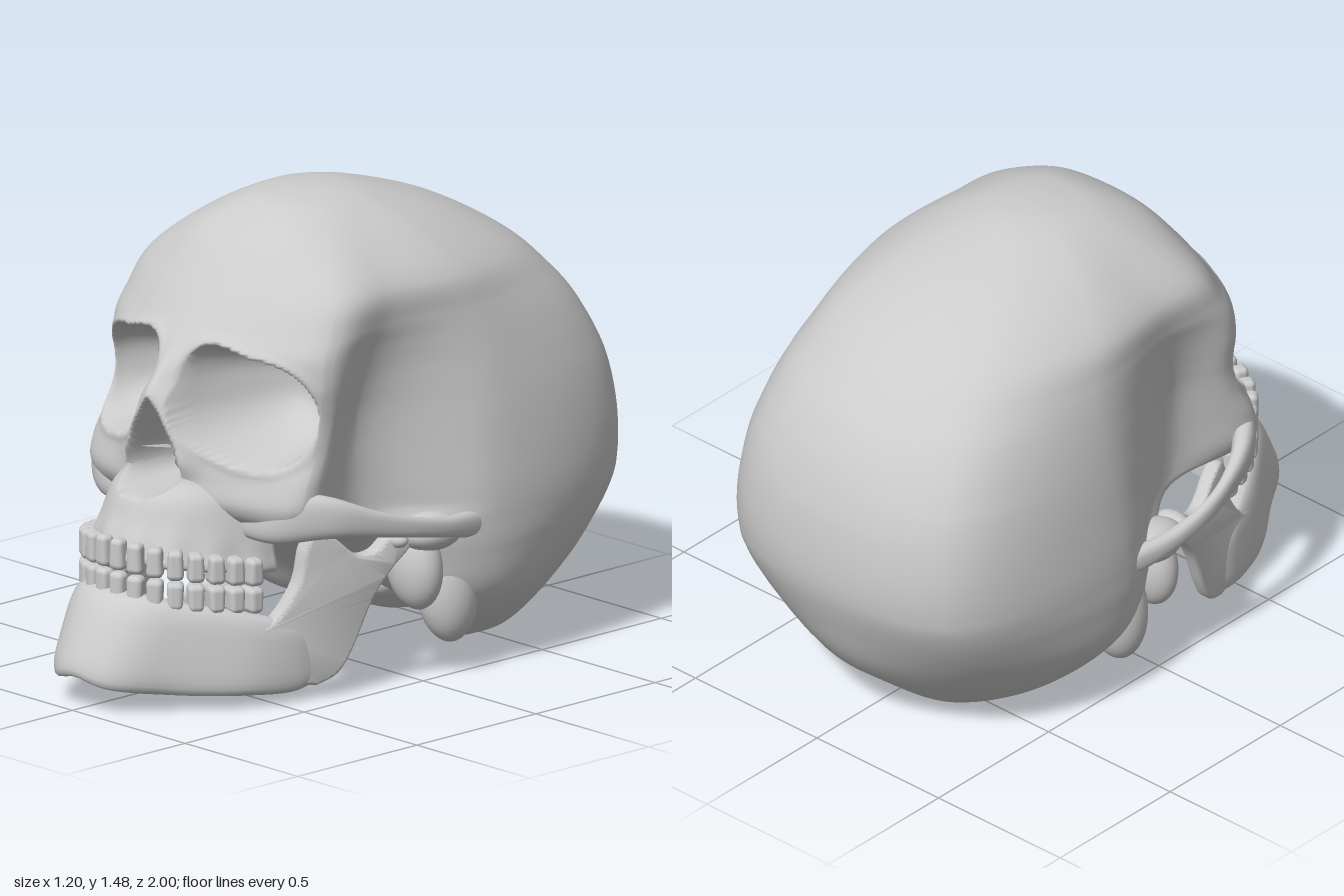
import * as THREE from 'three';
import { mergeGeometries, mergeVertices, toCreasedNormals } from 'three/addons/utils/BufferGeometryUtils.js';
import { RoundedBoxGeometry } from 'three/addons/geometries/RoundedBoxGeometry.js';

const bone = new THREE.MeshStandardMaterial({ color: 0xcccccc });
const V = (x, y, z) => new THREE.Vector3(x, y, z);
const smooth = THREE.MathUtils.smoothstep;
const lerp = THREE.MathUtils.lerp;
const spline = (pts, closed = false) => new THREE.CatmullRomCurve3(pts, closed);
const spow = (v, p) => Math.sign(v) * Math.abs(v) ** p;

// Closed skin over a stack of rings, wound so that it always faces outwards
function skin(rings) {
  const n = rings[0].length, last = rings.length - 1, pts = rings.flat(), idx = [];
  for (let r = 0; r < last; r++) for (let i = 0; i < n; i++) {
    const a = r * n + i, b = r * n + (i + 1) % n;
    idx.push(a, b, a + n, b, b + n, a + n);
  }
  for (const r of [0, last]) {
    const hub = pts.length;
    pts.push(rings[r].reduce((s, p) => s.add(p), V(0, 0, 0)).divideScalar(n));
    for (let i = 0; i < n; i++) {
      const a = r * n + i, b = r * n + (i + 1) % n;
      r ? idx.push(a, b, hub) : idx.push(b, a, hub);
    }
  }
  let volume = 0;
  for (let i = 0; i < idx.length; i += 3)
    volume += pts[idx[i]].dot(V(0, 0, 0).crossVectors(pts[idx[i + 1]], pts[idx[i + 2]]));
  if (volume < 0) idx.reverse();
  const geo = new THREE.BufferGeometry().setFromPoints(pts).setIndex(idx);
  geo.computeVertexNormals();
  return geo;
}

// Bar of rounded section through stations [top xyz, bottom xyz, half thickness]
function bar(stations, steps, power) {
  const top = spline(stations.map(s => V(s[0], s[1], s[2])));
  const bottom = spline(stations.map(s => V(s[3], s[4], s[5])));
  const thick = spline(stations.map((s, i) => V(s[6], i, 0)));
  const rings = [];
  for (let k = 0; k <= steps; k++) {
    const t = k / steps, a = top.getPoint(t), b = bottom.getPoint(t), ring = [];
    const tan = bottom.getTangent(t), n = V(tan.z, 0, -tan.x).normalize();
    const mid = a.clone().add(b).multiplyScalar(0.5), half = a.sub(b).multiplyScalar(0.5);
    const th = thick.getPoint(t).x;
    for (let i = 0; i < 24; i++) {
      const g = i / 24 * Math.PI * 2;
      ring.push(mid.clone().addScaledVector(half, spow(Math.sin(g), power))
        .addScaledVector(n, th * spow(Math.cos(g), power)));
    }
    rings.push(ring);
  }
  return skin(rings);
}

// Half outline of the skull per height: y, front z, brow x z, orbit rim x z
const FRONT = [
  [1.49, -0.02, 0, -0.02, 0, -0.02], [1.483, 0.08, 0.05, 0.06, 0.08, 0.02],
  [1.46, 0.19, 0.1, 0.17, 0.16, 0.1], [1.38, 0.33, 0.18, 0.3, 0.29, 0.19],
  [1.25, 0.45, 0.22, 0.41, 0.425, 0.28], [1.15, 0.525, 0.23, 0.48, 0.45, 0.335],
  [1.08, 0.58, 0.23, 0.525, 0.46, 0.37], [1, 0.65, 0.23, 0.53, 0.465, 0.375],
  [0.94, 0.69, 0.23, 0.53, 0.462, 0.37], [0.88, 0.68, 0.23, 0.535, 0.458, 0.375],
  [0.8, 0.67, 0.23, 0.555, 0.46, 0.4], [0.7, 0.68, 0.24, 0.575, 0.47, 0.455],
  [0.62, 0.67, 0.24, 0.585, 0.465, 0.475], [0.56, 0.58, 0.22, 0.54, 0.42, 0.46],
  [0.5, 0.4, 0.14, 0.36, 0.2, 0.28], [0.4, 0.1, 0.12, 0.09, 0.22, 0.06],
  [0.25, -0.1, 0.15, -0.1, 0.28, -0.09], [0.1, -0.33, 0.1, -0.33, 0.22, -0.28],
  [0.02, -0.43, 0.08, -0.43, 0.15, -0.43], [0, -0.52, 0.04, -0.52, 0.08, -0.52]];
// Matching sides: temple x z, widest x z, rear corner x z, back z
const REAR = [
  [0, -0.02, 0, -0.02, 0, -0.02, -0.02], [0.09, -0.02, 0.08, -0.06, 0.05, -0.1, -0.12],
  [0.18, 0, 0.17, -0.09, 0.1, -0.19, -0.22], [0.32, 0.03, 0.32, -0.16, 0.21, -0.38, -0.46],
  [0.445, 0.06, 0.455, -0.24, 0.31, -0.58, -0.69], [0.45, 0.09, 0.487, -0.28, 0.355, -0.675, -0.8],
  [0.437, 0.12, 0.506, -0.285, 0.381, -0.73, -0.86], [0.422, 0.145, 0.5245, -0.285, 0.405, -0.775, -0.91],
  [0.412, 0.16, 0.5365, -0.28, 0.419, -0.803, -0.938], [0.403, 0.17, 0.547, -0.275, 0.431, -0.826, -0.96],
  [0.397, 0.175, 0.5585, -0.265, 0.443, -0.845, -0.982], [0.395, 0.175, 0.57, -0.255, 0.453, -0.858, -0.996],
  [0.395, 0.165, 0.578, -0.245, 0.457, -0.86, -1], [0.4, 0.14, 0.582, -0.24, 0.458, -0.855, -0.997],
  [0.42, 0.09, 0.584, -0.24, 0.455, -0.845, -0.985], [0.45, 0.01, 0.583, -0.25, 0.44, -0.8, -0.95],
  [0.46, -0.06, 0.555, -0.3, 0.39, -0.715, -0.88], [0.385, -0.19, 0.41, -0.43, 0.26, -0.66, -0.75],
  [0.22, -0.45, 0.24, -0.51, 0.16, -0.6, -0.64], [0.12, -0.52, 0.12, -0.53, 0.08, -0.55, -0.56]];

// Sinks the eye sockets and the nasal opening into the face
function carve(p) {
  const x = Math.abs(p.x), y = p.y;
  // narrow bridge of the nose
  p.z -= 0.07 * smooth(x, 0, 0.09) * (1 - smooth(x, 0.12, 0.22)) * Math.exp(-(((y - 0.99) / 0.07) ** 2));
  const middle = 0.915 - (x < 0.255 ? 0.33 : 0.12) * (x - 0.255);
  const dx = Math.abs(x - 0.255) / 0.192, dy = Math.abs(y - middle) / 0.163;
  const d = (dx ** 2.8 + dy ** 2.8) ** (1 / 2.8);
  p.z += 0.008 * Math.exp(-(((d - 1.08) / 0.08) ** 2));
  const sink = Math.max(0, 1 - (d / 1.02) ** 2.6) ** 0.85;
  p.z = lerp(p.z, Math.min(p.z, 0.22), sink);
  const t = (y - 0.64) / 0.295;
  if (t > 0 && t < 1) {
    const arc = Math.sin(Math.PI * Math.sqrt(t)), w = 0.113 * arc ** 0.8;
    p.z += 0.04 * arc * smooth(t, 0.1, 0.45) * Math.exp(-(((x - w) / 0.04) ** 2));
    p.z = lerp(p.z, Math.min(p.z, 0.42), (1 - smooth(x - w, -0.035, 0.004)) * smooth(t, 0, 0.07));
  }
}

function skullGeometry() {
  const net = FRONT.map((f, r) => {
    const [y, zf, x1, z1, xr, zr] = f, [xt, zt, xw, zw, xb, zc, zb] = REAR[r];
    const side = [[x1, z1], [xr, zr], [xt, zt], [xw, zw], [xb, zc]];
    return [V(0, y, zf), ...side.map(([x, z]) => V(x, y, z)), V(0, y, zb),
      ...side.reverse().map(([x, z]) => V(-x, y, z))];
  });
  const columns = net[0].map((_, c) => spline(net.map(row => row[c])));
  const us = [];
  for (let s = 0; s < 12; s++) {
    const m = s < 2 || s > 9 ? 28 : 9;
    for (let i = 0; i < m; i++) us.push(s + i / m);
  }
  const steps = (net.length - 1) * 9, rings = [];
  for (let k = 0; k <= steps; k++) {
    const loop = spline(columns.map(c => c.getPoint(k / steps)), true);
    rings.push(us.map(u => {
      const p = loop.getPoint(u / 12);
      if (u < 2 || u > 10) carve(p);
      // two shallow lobes under the back of the head
      p.y += 0.04 * Math.exp(-((p.x / 0.1) ** 2)) * (1 - smooth(p.y, 0.02, 0.2));
      return p;
    }));
  }
  return skin(rings);
}

// Upper jaw: stacked arches [y, front z, half width], rippled over the roots, ending in a hollow palate
function upperJawGeometry() {
  const arches = spline([[0.76, 0.63, 0.22], [0.69, 0.69, 0.245], [0.645, 0.75, 0.262], [0.57, 0.785, 0.285],
    [0.51, 0.815, 0.3], [0.46, 0.83, 0.312], [0.445, 0.8, 0.29], [0.45, 0.75, 0.235],
    [0.53, 0.69, 0.18]].map(a => V(...a)));
  const rings = [], steps = 48;
  for (let k = 0; k <= steps; k++) {
    const { x: y, y: zf, z: w } = arches.getPoint(k / steps), ring = [];
    for (let i = 0; i <= 96; i++) {
      const a = (i / 96 - 0.5) * Math.PI;
      const ripple = 1 + 0.014 * smooth(k / steps, 0.3, 0.6) * Math.cos(a * 16 + Math.PI);
      const p = V(w * ripple * Math.sin(a), y - 0.05 * (1 - Math.cos(a)), 0.43 + (zf - 0.43) * ripple * Math.cos(a));
      carve(p);
      ring.push(p);
    }
    rings.push(ring);
  }
  return skin(rings);
}

// Row of sixteen teeth along the dental arch; dir is 1 for upper, -1 for lower
function teethGeometry(dir) {
  const arch = spline(Array.from({ length: 21 }, (_, i) => {
    const a = (i / 20 - 0.5) * 2.9;
    return V(0.302 * Math.sin(a), 0, 0.45 + 0.387 * Math.cos(a));
  }));
  return mergeGeometries(Array.from({ length: 16 }, (_, i) => {
    const t = (i + 0.5) / 16, p = arch.getPointAt(t), tan = arch.getTangentAt(t);
    const back = Math.abs(t - 0.5) * 2, h = (dir > 0 ? 0.1 : 0.095) - 0.015 * back;
    const g = new RoundedBoxGeometry(0.056, h, lerp(0.045, 0.08, back), 2, 0.018);
    const pos = g.attributes.position;
    for (let k = 0; k < pos.count; k++) // narrow towards the root
      pos.setX(k, pos.getX(k) * (0.88 - 2 * dir * pos.getY(k)));
    g.rotateY(Math.atan2(-tan.z, tan.x));
    return g.translate(p.x, 0.428 - 0.06 * back ** 1.5 + dir * (h / 2 + 0.003), p.z);
  }));
}

// Rising plate of the lower jaw with its two prongs
function ramusGeometry() {
  const outline = [[0.5, 0.28], [0.43, 0.38], [0.405, 0.49], [0.37, 0.535], [0.31, 0.51], [0.24, 0.45], [0.18, 0.45],
    [0.13, 0.49], [0.08, 0.495], [0.065, 0.45], [0.12, 0.39], [0.185, 0.3], [0.25, 0.155], [0.3, 0.08], [0.37, 0.05]];
  const shape = new THREE.Shape().moveTo(0.56, 0.08).lineTo(0.56, 0.25);
  shape.splineThru(outline.map(p => new THREE.Vector2(...p)));
  const g = new THREE.ExtrudeGeometry(shape, { depth: 0.026, bevelThickness: 0.014, bevelSize: 0.012,
    bevelOffset: -0.012, bevelSegments: 3, curveSegments: 40 });
  g.translate(0, 0, -0.013).rotateY(-Math.PI / 2);
  const pos = g.attributes.position;
  for (let k = 0; k < pos.count; k++) pos.setX(k, pos.getX(k) + 0.435 - 0.3 * (pos.getZ(k) - 0.25));
  return toCreasedNormals(g, 0.9);
}

const blob = (x, y, z, rx, ry, rz, tilt = 0) =>
  new THREE.SphereGeometry(1, 28, 20).scale(rx, ry, rz).rotateZ(tilt).translate(x, y, z);

function mirrored(geo) {
  const g = mergeVertices(geo.clone().scale(-1, 1, 1));
  g.index.array.reverse();
  return g;
}

export function createModel() {
  const model = new THREE.Group();
  const add = (name, geo) => {
    const mesh = new THREE.Mesh(geo, bone);
    mesh.name = name;
    model.add(mesh);
  };
  const addPair = (name, geo) => { add(name + 'Left', geo); add(name + 'Right', mirrored(geo)); };

  add('skull', skullGeometry());
  add('upperJaw', upperJawGeometry());
  add('nasalSeptum', new THREE.BoxGeometry(0.014, 0.17, 0.14).translate(0, 0.73, 0.47));
  add('upperTeeth', teethGeometry(1));
  add('lowerTeeth', teethGeometry(-1));

  // Lower jaw body swept from one corner round the chin to the other
  const half = [[0, 0.365, 0.83, 0, 0.11, 0.968, 0.053], [0.11, 0.36, 0.805, 0.095, 0.085, 0.94, 0.053],
    [0.21, 0.335, 0.715, 0.205, 0.06, 0.785, 0.048], [0.31, 0.3, 0.57, 0.335, 0.048, 0.6, 0.042],
    [0.375, 0.26, 0.45, 0.388, 0.042, 0.43, 0.032], [0.402, 0.2, 0.36, 0.408, 0.075, 0.34, 0.014]];
  const other = half.slice(1).reverse().map(([a, b, c, d, e, f, g]) => [-a, b, c, -d, e, f, g]);
  add('lowerJaw', bar([...other, ...half], 70, 0.62));
  addPair('jawRamus', ramusGeometry());
  addPair('jawCondyle', blob(0.47, 0.475, 0.1, 0.06, 0.03, 0.035));

  // Cheekbones running back into arches that stand clear of the temples
  addPair('cheekArch', bar([[0.28, 0.65, 0.5, 0.24, 0.52, 0.52, 0.03], [0.42, 0.68, 0.465, 0.37, 0.515, 0.495, 0.042],
    [0.502, 0.665, 0.38, 0.485, 0.535, 0.4, 0.034], [0.558, 0.61, 0.25, 0.552, 0.525, 0.25, 0.023],
    [0.58, 0.57, 0.12, 0.58, 0.505, 0.12, 0.02], [0.572, 0.54, -0.02, 0.572, 0.475, -0.02, 0.025],
    [0.55, 0.53, -0.14, 0.55, 0.45, -0.14, 0.028], [0.535, 0.52, -0.25, 0.535, 0.46, -0.25, 0.02]], 48, 0.8));

  // Bony knobs under the ear and beside the spine
  addPair('mastoid', blob(0.455, 0.27, -0.14, 0.09, 0.17, 0.1, 0.15));
  addPair('earBone', blob(0.46, 0.37, 0, 0.1, 0.14, 0.075, 0.2));
  addPair('jawSocket', blob(0.5, 0.48, -0.03, 0.085, 0.06, 0.11));
  addPair('neckCondyle', blob(0.1, 0.2, -0.22, 0.05, 0.05, 0.09));
  return model;
}
